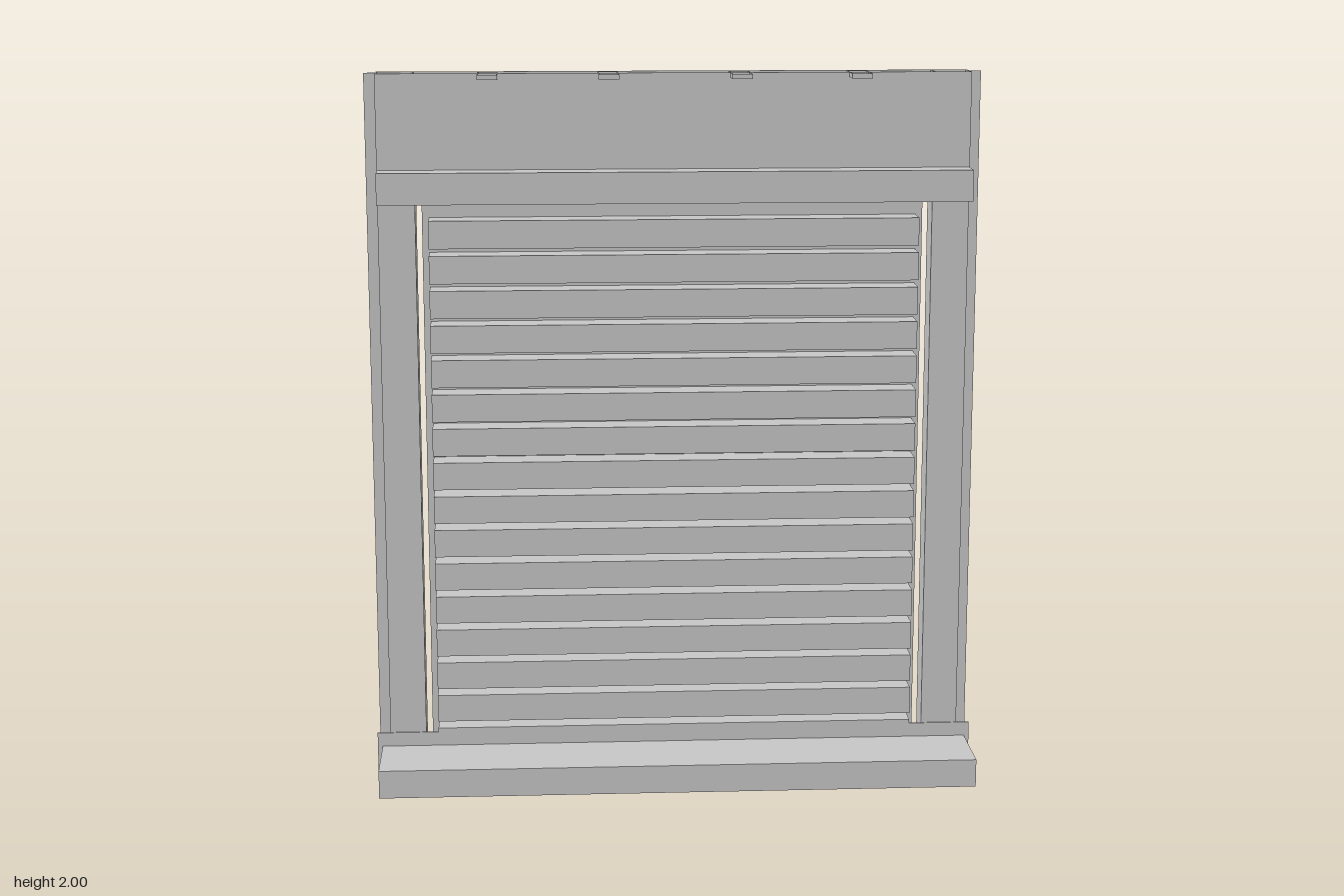
import * as THREE from 'three';

export function createModel() {
  const group = new THREE.Group();
  const grey = new THREE.MeshStandardMaterial({ color: 0xc6c6c6 });
  grey.name = 'light grey metal';

  const add = (name, geometry) => {
    const mesh = new THREE.Mesh(geometry, grey);
    mesh.name = name;
    group.add(mesh);
  };
  // box given by its minimum and maximum on each axis
  const box = (name, x0, x1, y0, y1, z0, z1) => {
    const g = new THREE.BoxGeometry(x1 - x0, y1 - y0, z1 - z0);
    g.translate((x0 + x1) / 2, (y0 + y1) / 2, (z0 + z1) / 2);
    add(name, g);
  };

  const halfX = 0.82, openX = 0.717, zFront = -0.052, zBack = -0.136, t = 0.004;

  // sheet with the window opening cut out of its lower part
  const sheet = (name, openTop, z) => {
    const s = new THREE.Shape([
      [-halfX, 0], [-openX, 0], [-openX, openTop], [openX, openTop],
      [openX, 0], [halfX, 0], [halfX, 2], [-halfX, 2],
    ].map(([x, y]) => new THREE.Vector2(x, y)));
    const g = new THREE.ExtrudeGeometry(s, { depth: t, bevelEnabled: false });
    g.translate(0, 0, z);
    add(name, g);
  };
  sheet('frontSheet', 1.65, zFront - t);
  sheet('backSheet', 1.695, zBack);

  // hollow jambs: outer side, inner reveal, bottom cap and a fin along the side
  for (const s of [-1, 1]) {
    const side = s < 0 ? 'right' : 'left';
    const part = (name, xa, xb, y1, z0, z1) =>
      box(side + name, Math.min(s * xa, s * xb), Math.max(s * xa, s * xb), 0, y1, z0, z1);
    part('JambSide', halfX - t, halfX, 2, zBack + t, zFront - t);
    part('JambReveal', openX, openX + t, 2, zBack + t, zFront - t);
    part('JambCap', openX + t, halfX - t, t, zBack + t, -0.097);
    part('JambFin', halfX, 0.852, 2, -0.097, -0.093);
  }
  box('headSoffit', -openX, openX, 1.695, 1.695 + t, zBack + t, zFront - t);

  // hood above the opening
  box('hood', -0.818, 0.818, 1.65, 1.737, zFront, 0.028);

  // sill with a thin upstand that is slightly wider
  box('sill', -0.843, 0.843, 0, 0.08, -0.097, 0.164);
  box('sillUpstand', -0.857, 0.857, 0, 0.12, zFront, zFront + t);

  // back panel and the shutter slats in front of it
  box('backPanel', -0.702, 0.702, 0, 1.64, -0.165, -0.131);
  for (let i = 0; i < 16; i++) {
    const top = 1.597 - i * 0.0977;
    box('slat' + (i + 1), -0.682, 0.682, top - 0.078, top, -0.131, -0.048);
  }

  // shallow fixing trays along the top edge
  [-0.513, -0.183, 0.18, 0.508].forEach((x, i) => {
    const name = 'fixingTray' + (i + 1), w = 0.028, z0 = -0.113, z1 = 0.014, lip = 0.003;
    box(name + 'Floor', x - w, x + w, 1.987, 1.99, z0, z1);
    for (const s of [-1, 1]) {
      const lx = x + s * (w - lip / 2), lz = s < 0 ? z0 : z1 - lip;
      box(name + 'SideLip', lx - lip / 2, lx + lip / 2, 1.99, 2, z0, z1);
      box(name + 'EndLip', x - w + lip, x + w - lip, 1.99, 2, lz, lz + lip);
    }
  });

  return group;
}
